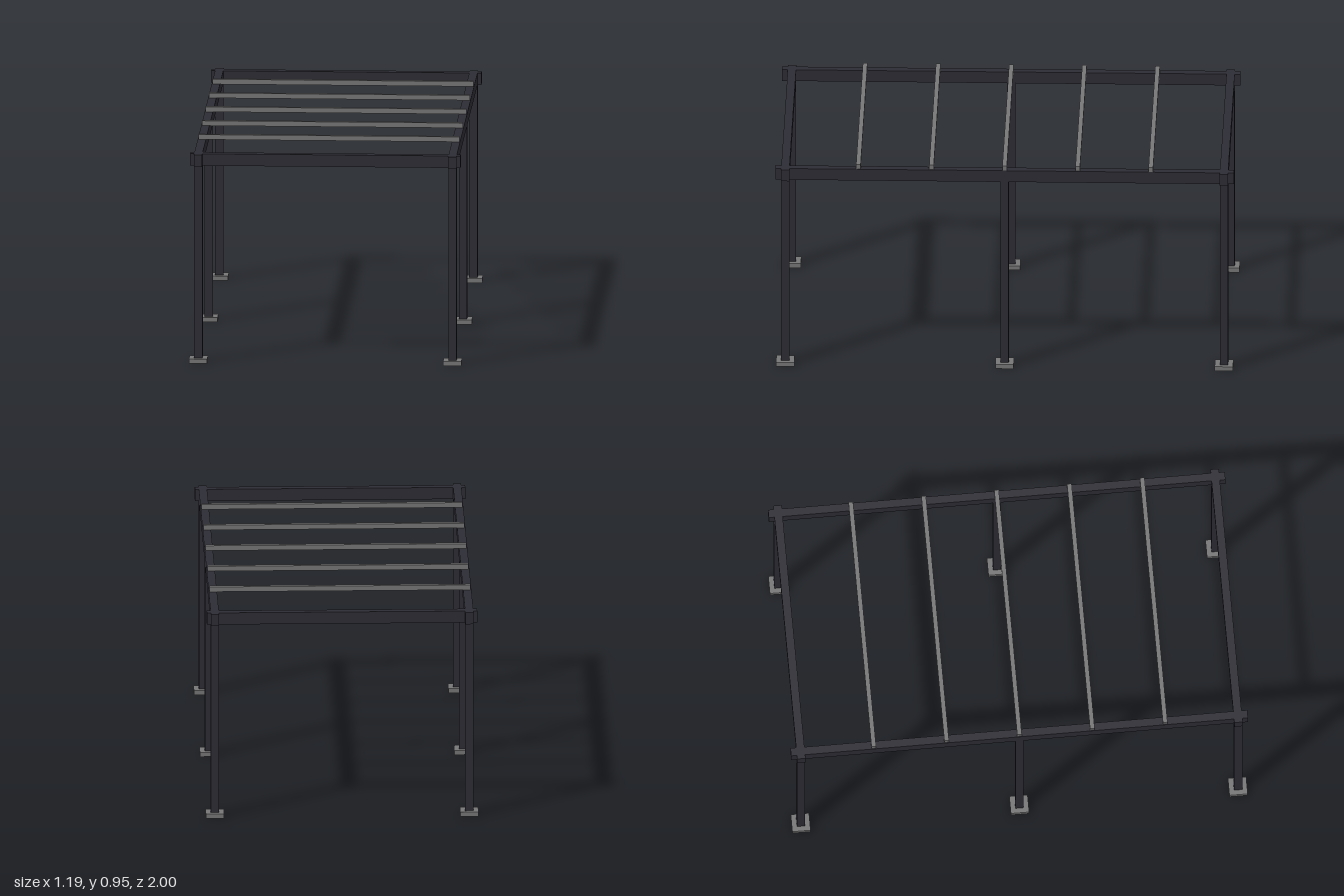
import * as THREE from 'three';

const POST_X = 0.555, POST_Z = 0.957, POST_W = 0.036;
const BEAM_BOTTOM = 0.875, BEAM_TOP = 0.928;

export function createModel() {
  const model = new THREE.Group();
  model.name = 'pergola';
  const frame = new THREE.MeshStandardMaterial({ name: 'dark frame', color: 0x2d2d35 });
  const metal = new THREE.MeshStandardMaterial({ name: 'grey metal', color: 0x777777 });

  const add = (name, geometry, material, x, y, z) => {
    const mesh = new THREE.Mesh(geometry, material);
    mesh.name = name;
    mesh.position.set(x, y, z);
    model.add(mesh);
  };

  // Square foot plate with a hole through which the post passes
  const square = (path, h) =>
    path.moveTo(-h, -h).lineTo(h, -h).lineTo(h, h).lineTo(-h, h).closePath();
  const plate = square(new THREE.Shape(), 0.04);
  plate.holes.push(square(new THREE.Path(), POST_W / 2));
  const footGeometry = new THREE.ExtrudeGeometry(plate, { depth: 0.02, bevelEnabled: false });
  footGeometry.rotateX(-Math.PI / 2);

  // Posts and feet: three along each side
  const postGeometry = new THREE.BoxGeometry(POST_W, BEAM_TOP, POST_W);
  for (const x of [-POST_X, POST_X]) {
    for (const z of [-POST_Z, 0, POST_Z]) {
      add('post', postGeometry, frame, x, BEAM_TOP / 2, z);
      add('footPlate', footGeometry, metal, x, 0, z);
    }
  }

  // Perimeter beams, crossing past each other at the corners
  const beamH = BEAM_TOP - BEAM_BOTTOM;
  const beamY = (BEAM_TOP + BEAM_BOTTOM) / 2;
  const sideBeam = new THREE.BoxGeometry(POST_W, beamH, 2);
  const endBeam = new THREE.BoxGeometry(1.18, beamH, POST_W);
  for (const s of [-1, 1]) {
    add('sideBeam', sideBeam, frame, s * POST_X, beamY, 0);
    add('endBeam', endBeam, frame, 0, beamY, s * POST_Z);
  }

  // Thin rafters resting on the side beams
  const rafter = new THREE.BoxGeometry(1.14, 0.022, 0.02);
  for (let i = -2; i <= 2; i++) {
    add('rafter', rafter, metal, 0, BEAM_TOP + 0.011, i * 0.319);
  }
  return model;
}
